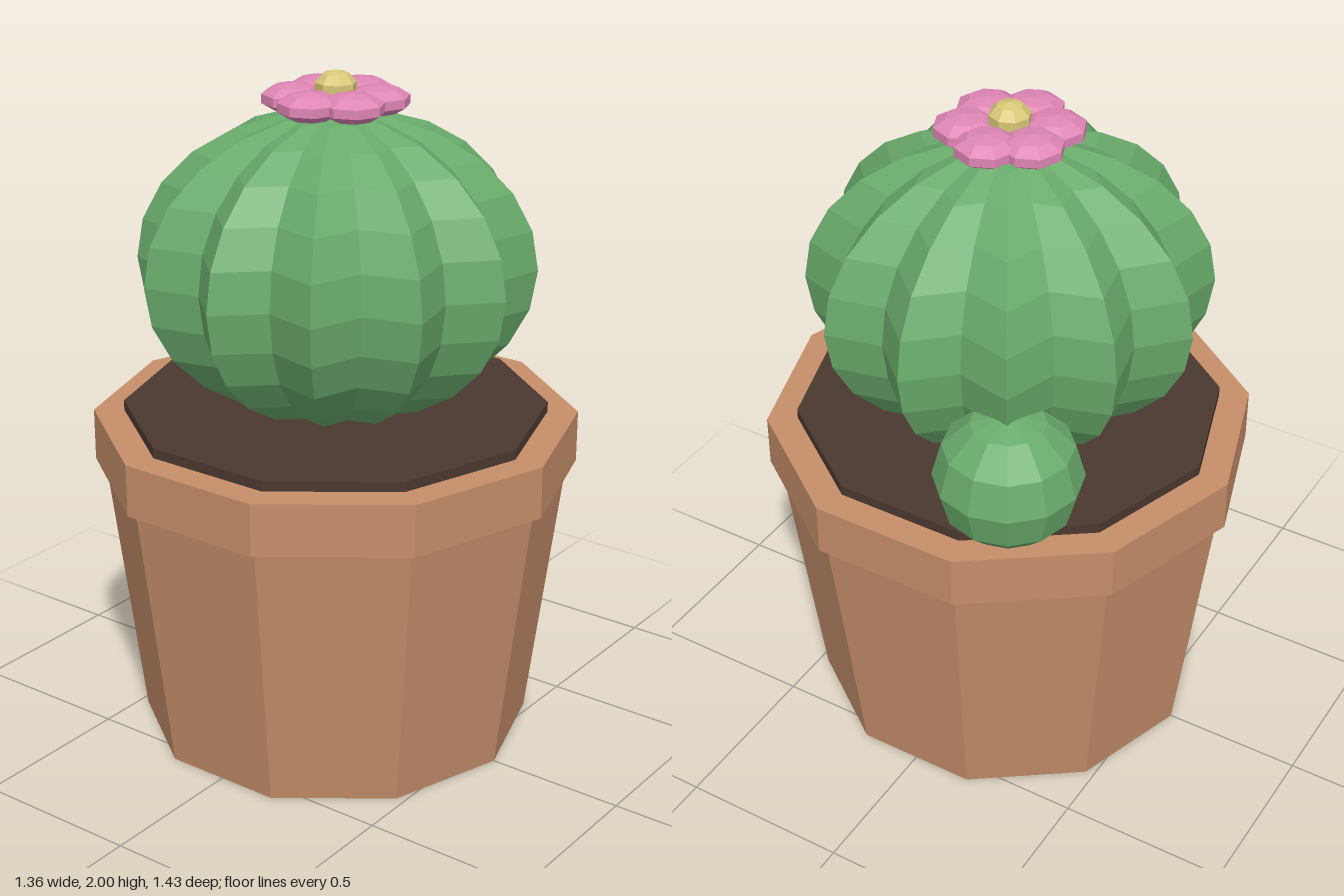
import * as THREE from 'three';

const material = (name, color) => Object.assign(new THREE.MeshStandardMaterial({ color }), { name });

// Faceted mesh: split the faces so each has its own flat normal
function facetedMesh(name, geometry, mat, x = 0, y = 0, z = 0) {
  const flat = geometry.toNonIndexed();
  flat.computeVertexNormals();
  const mesh = new THREE.Mesh(flat, mat);
  mesh.name = name;
  mesh.position.set(x, y, z);
  return mesh;
}

// Ellipsoid with horizontal radius r and half height h
const ellipsoid = (r, h, segments, rings) =>
  new THREE.SphereGeometry(1, segments, rings).scale(r, h, r);

// Ellipsoid whose alternate meridians are pulled in to make sharp ribs
function ribbedBody(r, h, ribs, rings, valley) {
  const geometry = ellipsoid(r, h, ribs * 2, rings);
  const p = geometry.attributes.position;
  for (let i = 0; i < p.count; i++) {
    const step = Math.round(Math.atan2(p.getZ(i), p.getX(i)) / (Math.PI / ribs));
    const k = step % 2 === 0 ? 1 : valley;
    p.setXYZ(i, p.getX(i) * k, p.getY(i), p.getZ(i) * k);
  }
  return geometry;
}

export function createModel() {
  const terracotta = material('terracotta', 0xc68e6a);
  const earth = material('dark soil', 0x4b3830);
  const green = material('cactus green', 0x6aac6c);
  const pink = material('petal pink', 0xdf86b5);
  const yellow = material('pollen yellow', 0xd8c878);

  const model = new THREE.Group();
  model.name = 'pottedCactus';

  // Ten-sided pot with a wider rim, and soil rising just above it
  model.add(
    facetedMesh('potBody', new THREE.CylinderGeometry(0.69, 0.585, 0.84, 10), terracotta, 0, 0.42),
    facetedMesh('potRim', new THREE.CylinderGeometry(0.715, 0.715, 0.155, 10), terracotta, 0, 0.9025),
    facetedMesh('soil', new THREE.CylinderGeometry(0.625, 0.625, 0.06, 10), earth, 0, 0.98)
  );

  // Ribbed cactus and its small offshoot
  model.add(
    facetedMesh('cactusBody', ribbedBody(0.58, 0.45, 12, 12, 0.83), green, 0, 1.435),
    facetedMesh('offshoot', ellipsoid(0.21, 0.205, 12, 6), green, 0.452, 1.145, -0.266)
  );

  // Flower: ring of six rounded petals around a domed centre
  const flower = new THREE.Group();
  flower.name = 'flower';
  for (let i = 0; i < 6; i++) {
    const a = (i * Math.PI) / 3;
    flower.add(facetedMesh('petal', ellipsoid(0.095, 0.042, 8, 5), pink,
      Math.cos(a) * 0.12, 1.918, Math.sin(a) * 0.12));
  }
  flower.add(facetedMesh('flowerCentre', ellipsoid(0.063, 0.05, 8, 5), yellow, 0, 1.95));
  model.add(flower);

  return model;
}
